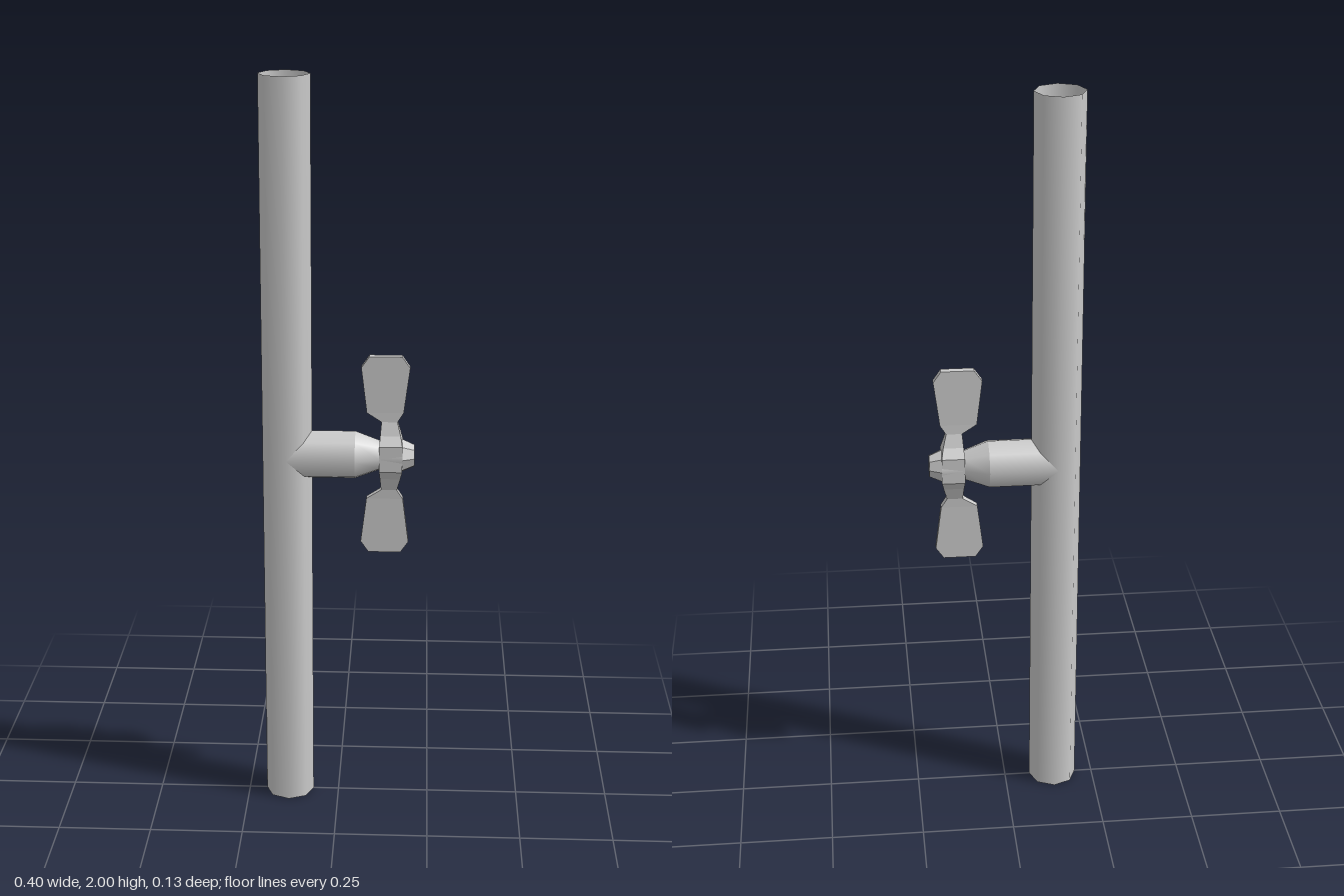
import * as THREE from 'three';

const PIPE_X = -0.136, R = 0.066, SIDES = 8;

export function createModel() {
  const group = new THREE.Group();
  const smooth = new THREE.MeshStandardMaterial({ color: 0xcccccc, side: THREE.DoubleSide });
  const flat = new THREE.MeshStandardMaterial({ color: 0xcccccc, flatShading: true });
  const add = (name, geometry, material) => {
    const mesh = new THREE.Mesh(geometry, material);
    mesh.name = name;
    group.add(mesh);
    return mesh;
  };

  // Open upright pipe
  add('pipe', new THREE.CylinderGeometry(R, R, 2, SIDES, 1, true), smooth).position.set(PIPE_X, 1, 0);

  // Section of the side spout, running along x
  const section = (name, x0, r0, x1, r1, open = true) => {
    const g = new THREE.CylinderGeometry(r1, r0, x1 - x0, SIDES, 1, open);
    g.rotateZ(-Math.PI / 2).translate((x0 + x1) / 2, 1, 0);
    return add(name, g, open ? smooth : flat);
  };

  // Branch, with its inner end fitted to the pipe wall
  const branch = section('branch', PIPE_X, R, 0.045, R);
  const p = branch.geometry.attributes.position;
  for (let i = 0; i < p.count; i++) {
    if (p.getX(i) < 0) p.setX(i, PIPE_X + Math.sqrt(Math.max(0, R * R - p.getZ(i) ** 2)));
  }
  section('branchTaper', 0.045, R, 0.11, 0.041);
  section('valveNeck', 0.11, 0.041, 0.17, 0.045);
  section('endNut', 0.17, 0.045, 0.202, 0.03, false);

  // Two-winged handle: rows of height above centre, x range and half thickness
  const upper = [
    [0.035, 0.109, 0.17, 0.041],
    [0.06, 0.111, 0.165, 0.023],
    [0.095, 0.114, 0.156, 0.011],
    [0.115, 0.08, 0.17, 0.01],
    [0.243, 0.06, 0.188, 0.01],
    [0.273, 0.081, 0.167, 0.01],
  ];
  // The wing narrows gradually towards the hub
  upper[3] = [0.12, 0.075, 0.172, 0.01];
  const rows = [...upper.map(([y, ...rest]) => [-y, ...rest]).reverse(), ...upper];
  const n = rows.length - 1;
  const handle = new THREE.BoxGeometry(1, 1, 1, 1, n, 1);
  const h = handle.attributes.position;
  for (let i = 0; i < h.count; i++) {
    const [y, x0, x1, hz] = rows[Math.round((h.getY(i) + 0.5) * n)];
    h.setXYZ(i, h.getX(i) < 0 ? x0 : x1, 1 + y, Math.sign(h.getZ(i)) * hz);
  }
  handle.computeVertexNormals();
  add('handle', handle, flat);

  return group;
}
